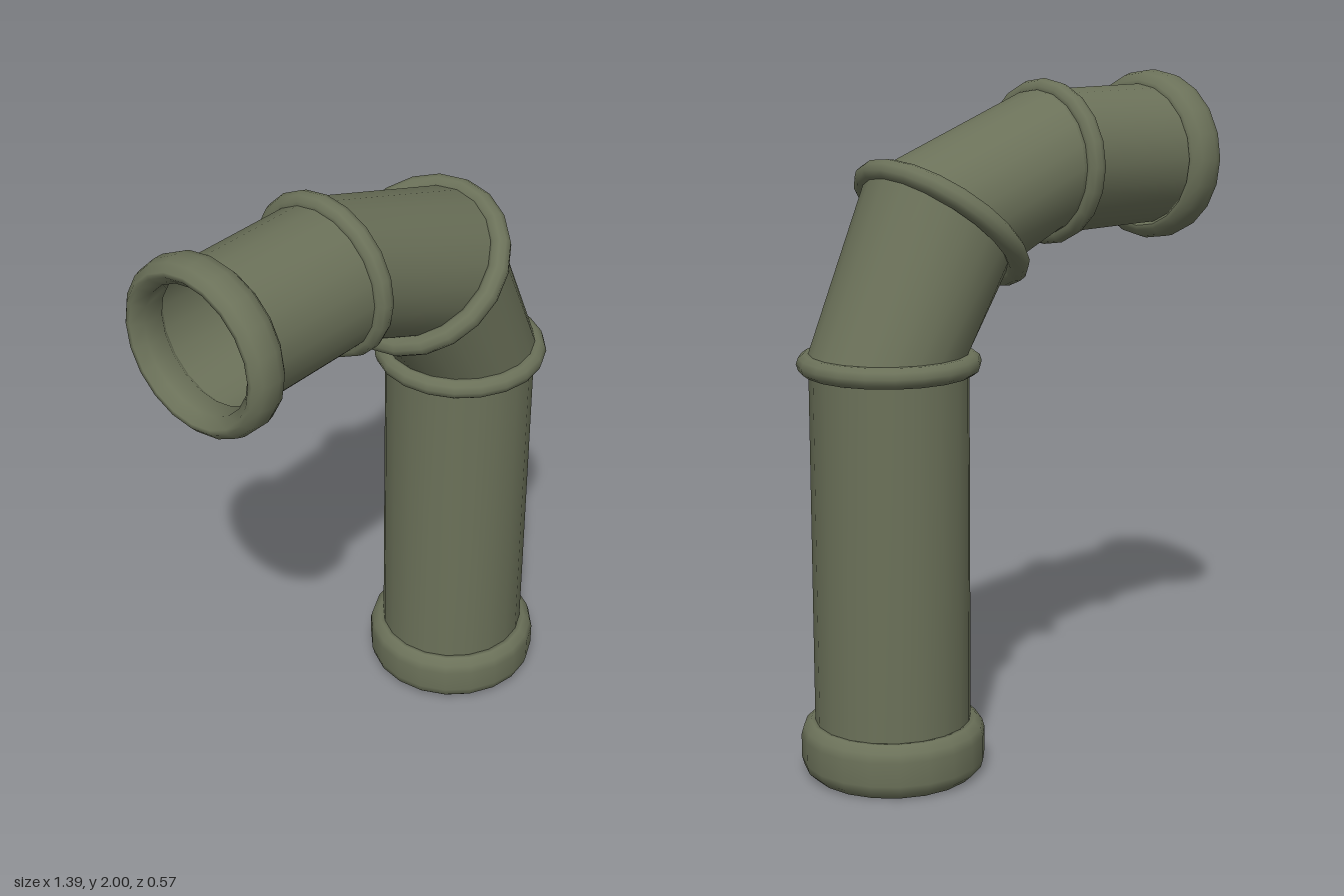
import * as THREE from 'three';

const SIDES = 20;

export function createModel() {
  const group = new THREE.Group();
  const olive = new THREE.MeshStandardMaterial({ color: 0x6b7159, side: THREE.DoubleSide });
  olive.name = 'olive pipe';

  const add = (name, geometry) => {
    const mesh = new THREE.Mesh(geometry, olive);
    mesh.name = name;
    group.add(mesh);
    return mesh;
  };

  // Pipe cross-sections: centre x, y, in-plane half axis ux, uy, half width in z
  const sections = [
    [0.425, 0.03, 0.23, 0, 0.227],
    [0.425, 1.25, 0.23, 0, 0.227],
    [0.24, 1.605, 0.19, 0.155, 0.23],
    [-0.14, 1.745, 0, 0.215, 0.213],
    [-0.67, 1.745, 0, 0.215, 0.213],
  ];

  // Open tube between two elliptical cross-sections
  function pipeSegment(a, b) {
    const positions = [], indices = [];
    for (const [cx, cy, ux, uy, w] of [a, b]) {
      for (let i = 0; i < SIDES; i++) {
        const t = (i / SIDES) * Math.PI * 2;
        positions.push(cx + ux * Math.cos(t), cy + uy * Math.cos(t), w * Math.sin(t));
      }
    }
    for (let i = 0; i < SIDES; i++) {
      const j = (i + 1) % SIDES;
      indices.push(i, i + SIDES, j, j, i + SIDES, j + SIDES);
    }
    const geometry = new THREE.BufferGeometry();
    geometry.setAttribute('position', new THREE.Float32BufferAttribute(positions, 3));
    geometry.setIndex(indices);
    geometry.computeVertexNormals();
    return geometry;
  }

  const names = ['uprightPipe', 'lowerElbow', 'upperElbow', 'outletPipe'];
  names.forEach((name, i) => add(name, pipeSegment(sections[i], sections[i + 1])));

  // Rounded end collars, open in the middle
  function collar(inner, outer, height) {
    const h = height / 2, c = 0.028;
    const profile = [
      [inner + c, -h], [outer - c, -h], [outer - 0.007, -h + 0.02], [outer, -h + 0.045],
      [outer, h - 0.045], [outer - 0.007, h - 0.02], [outer - c, h], [inner + c, h],
      [inner, h - c], [inner, -h + c], [inner + c, -h],
    ].map(([r, y]) => new THREE.Vector2(r, y));
    return new THREE.LatheGeometry(profile, SIDES);
  }
  add('baseCollar', collar(0.2, 0.27, 0.16)).position.set(0.425, 0.08, 0);
  const outlet = add('outletCollar', collar(0.19, 0.26, 0.12));
  outlet.position.set(-0.64, 1.74, 0);
  outlet.rotation.z = Math.PI / 2;

  // Joint rings lying across the pipe, tilted in the xy plane
  function ring(name, x, y, angle, radius, tube) {
    const geometry = new THREE.TorusGeometry(radius, tube, 10, SIDES);
    geometry.rotateX(Math.PI / 2);
    const mesh = add(name, geometry);
    mesh.position.set(x, y, 0);
    mesh.rotation.z = angle;
  }
  ring('lowerRing', 0.425, 1.22, 0, 0.233, 0.031);
  ring('elbowRing', 0.227, 1.597, 0.715, 0.253, 0.032);
  ring('upperRing', -0.18, 1.747, Math.PI / 2, 0.215, 0.031);

  return group;
}
